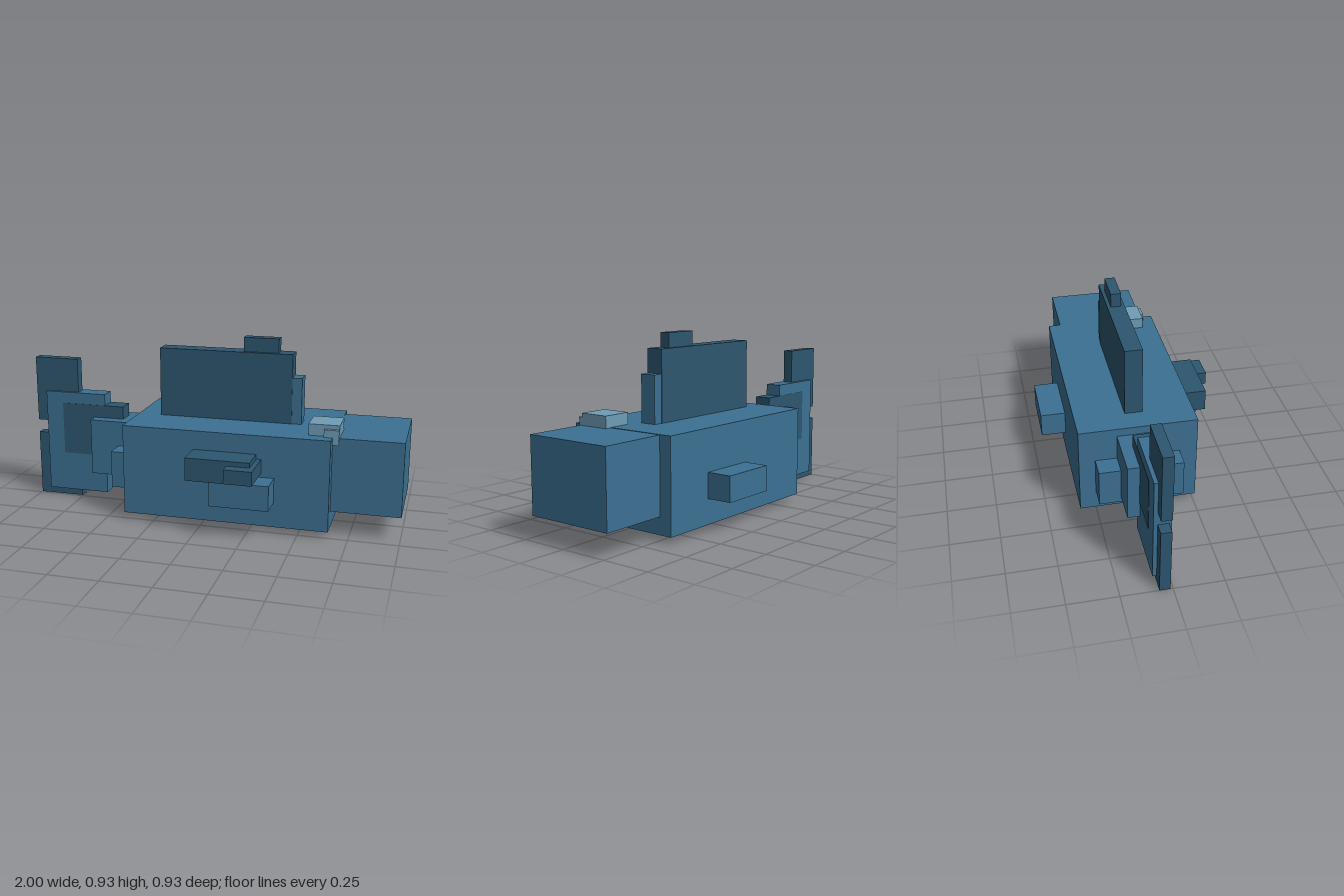
import * as THREE from 'three';

const mat = (name, color) => {
  const m = new THREE.MeshStandardMaterial({ color });
  m.name = name;
  return m;
};

export function createModel() {
  const model = new THREE.Group();
  model.name = 'blockFish';
  const blue = mat('bodyBlue', 0x3c7193);
  const dark = mat('finDarkBlue', 0x2d5770);
  const pale = mat('eyePaleBlue', 0x709db7);

  // Box spanning [min, max] on each axis
  const block = (name, material, [x0, x1], [y0, y1], [z0, z1]) => {
    const mesh = new THREE.Mesh(new THREE.BoxGeometry(x1 - x0, y1 - y0, z1 - z0), material);
    mesh.position.set((x0 + x1) / 2, (y0 + y1) / 2, (z0 + z1) / 2);
    mesh.name = name;
    model.add(mesh);
  };

  // Body and head
  block('body', blue, [-0.405, 0.653], [0.035, 0.502], [-0.336, 0.26]);
  block('head', blue, [0.64, 1], [0.122, 0.5], [-0.272, 0.197]);

  // Eye on top of the head, with its small front flap
  block('eye', pale, [0.532, 0.685], [0.5, 0.56], [0.03, 0.185]);
  block('eyeFlap', pale, [0.61, 0.685], [0.465, 0.54], [0.18, 0.205]);

  // Dorsal fin
  block('dorsalFin', dark, [-0.283, 0.415], [0.49, 0.86], [-0.083, 0.007]);
  block('dorsalTip', dark, [0.158, 0.34], [0.85, 0.933], [-0.065, -0.011]);
  block('dorsalFront', blue, [0.4, 0.465], [0.49, 0.74], [-0.08, 0.004]);

  // Side fins
  block('lowerSideFins', blue, [0.08, 0.38], [0.162, 0.29], [-0.465, 0.387]);
  block('upperSideFin', dark, [-0.032, 0.29], [0.29, 0.406], [0.2, 0.406]);
  block('sideFinTip', dark, [0.175, 0.315], [0.311, 0.382], [0.2, 0.465]);

  // Tail root
  block('tailRootLow', blue, [-0.507, -0.39], [0.135, 0.328], [-0.255, 0.17]);
  block('tailRoot', blue, [-0.662, -0.39], [0.162, 0.46], [-0.146, 0.062]);

  // Tail fin and its two tips
  block('tailFin', blue, [-0.94, -0.602], [0.036, 0.588], [-0.085, 0.001]);
  block('tailCore', dark, [-0.845, -0.498], [0.246, 0.527], [-0.087, 0.003]);
  for (const [name, y] of [['tailTipUpper', [0.42, 0.77]], ['tailTipLower', [0, 0.35]]]) {
    block(name, dark, [-1, -0.758], y, [-0.065, -0.012]);
  }
  return model;
}
